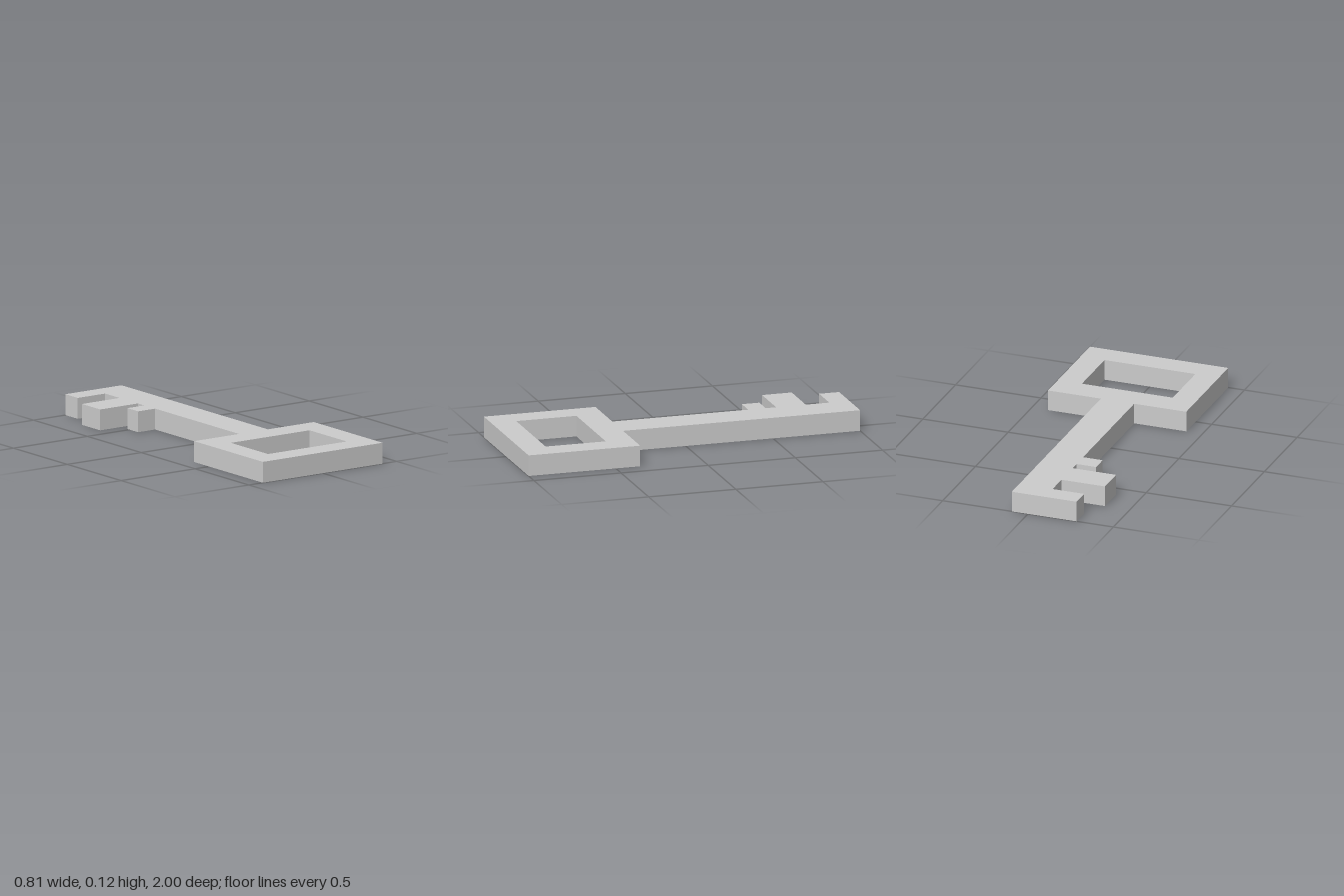
import * as THREE from 'three';

const THICKNESS = 0.117;
const BOW = { x: 0.405, back: 0.36, front: 1 };
const SHAFT = { left: 0.095, right: -0.1, tip: -1 };

// Teeth on the right edge, from the tip towards the bow
const TEETH = [
  { reach: -0.285, from: -1, to: -0.885 },
  { reach: -0.355, from: -0.75, to: -0.58 },
  { reach: -0.215, from: -0.52, to: -0.42 },
];

// Points are given as [x, z]; the shape lies in x, -z until it is laid flat
const toShapePoints = (points) => points.map(([x, z]) => new THREE.Vector2(x, -z));

export function createModel() {
  const group = new THREE.Group();
  group.name = 'key';

  // Outline: bow, left shaft edge, then the toothed right edge
  const outline = [
    [-BOW.x, BOW.back], [-BOW.x, BOW.front], [BOW.x, BOW.front], [BOW.x, BOW.back],
    [SHAFT.left, BOW.back], [SHAFT.left, SHAFT.tip],
  ];
  for (const { reach, from, to } of TEETH) {
    if (from > SHAFT.tip) outline.push([SHAFT.right, from]);
    outline.push([reach, from], [reach, to], [SHAFT.right, to]);
  }
  outline.push([SHAFT.right, BOW.back]);
  const shape = new THREE.Shape(toShapePoints(outline));

  // Rectangular opening in the bow
  shape.holes.push(new THREE.Path(toShapePoints([
    [-0.267, 0.513], [0.265, 0.513], [0.265, 0.858], [-0.267, 0.858],
  ])));

  // Flat key body lying on the ground
  const geometry = new THREE.ExtrudeGeometry(shape, { depth: THICKNESS, bevelEnabled: false });
  geometry.rotateX(-Math.PI / 2);
  const body = new THREE.Mesh(
    geometry,
    new THREE.MeshStandardMaterial({ color: 0xcccccc, flatShading: true }),
  );
  body.name = 'keyBody';
  group.add(body);
  return group;
}
